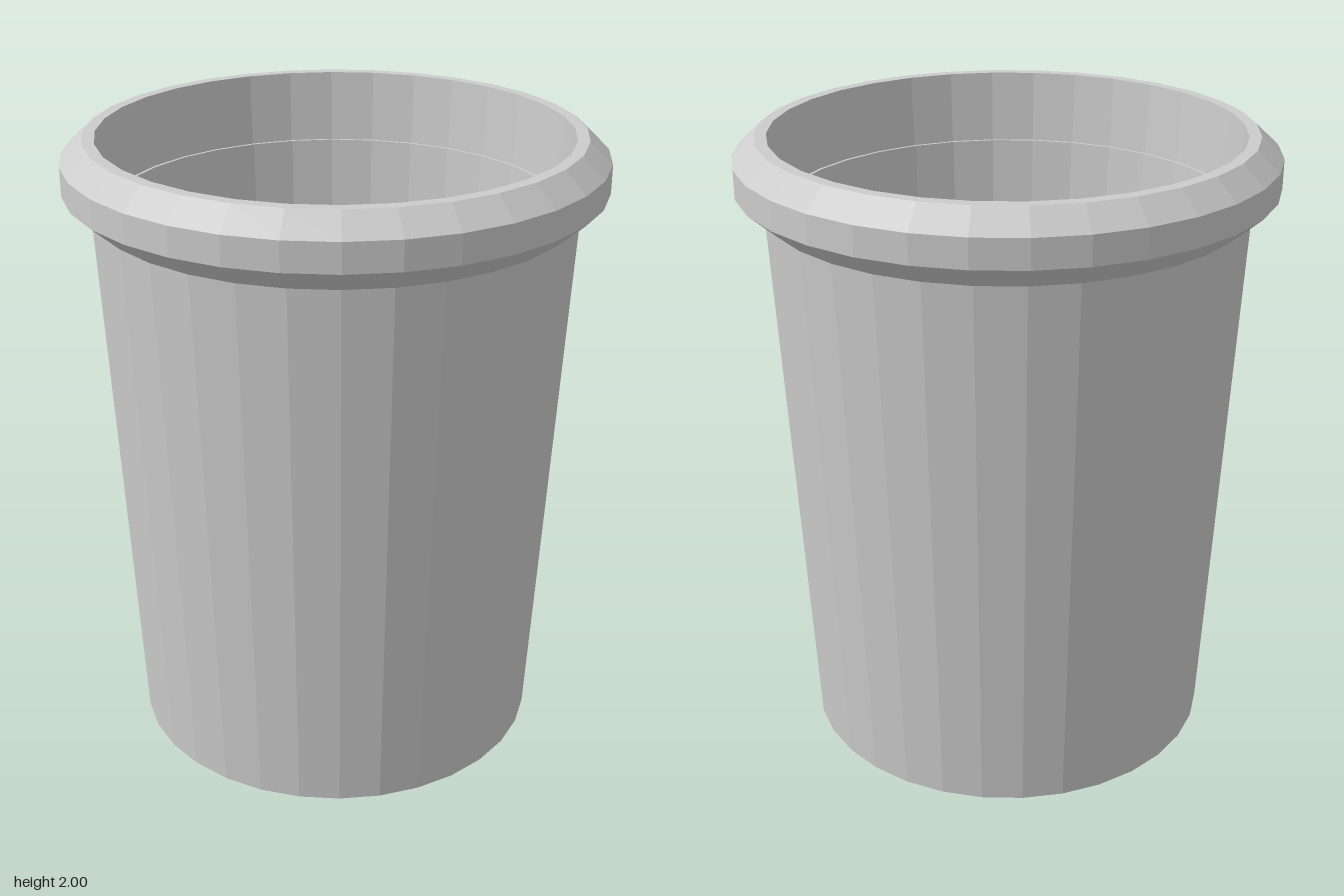
import * as THREE from 'three';

const SIDES = 32;

// Turn a list of [radius, height] points into a faceted part
function turned(name, profile) {
  const points = profile.map(([r, y]) => new THREE.Vector2(r, y));
  const material = new THREE.MeshStandardMaterial({ color: 0xcccccc, flatShading: true });
  const mesh = new THREE.Mesh(new THREE.LatheGeometry(points, SIDES), material);
  mesh.name = name;
  return mesh;
}

export function createModel() {
  const group = new THREE.Group();
  group.name = 'cup';

  // Tapered hollow body: underside, outer wall, top ledge, inner wall, floor
  group.add(turned('body', [
    [0, 0], [0.66, 0], [0.75, 1.77], [0.703, 1.77], [0.63, 0.03], [0, 0.03],
  ]));

  // Chamfered rim seated on the body, its bore slightly wider than the body's
  group.add(turned('rim', [
    [0.75, 1.77], [0.835, 1.845], [0.835, 1.935], [0.765, 2], [0.728, 2], [0.713, 1.77],
  ]));

  return group;
}
